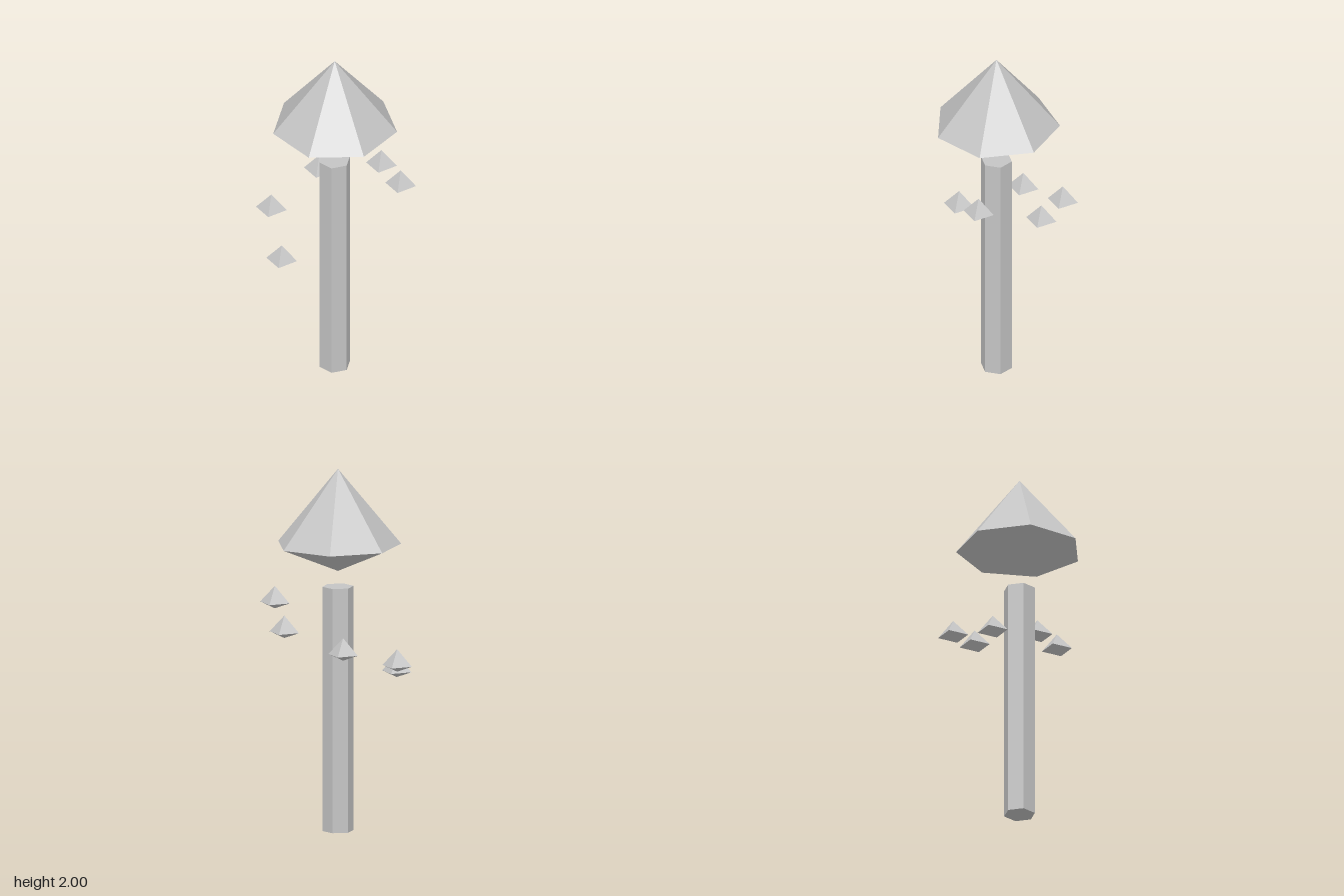
import * as THREE from 'three';

const CENTRE_X = -0.002;
const CENTRE_Z = 0.027;

// Double pyramid with its widest ring at y = 0 and one corner on +x
function crystal(sides, radius, above, below) {
  const profile = [
    new THREE.Vector2(0, -below),
    new THREE.Vector2(radius, 0),
    new THREE.Vector2(0, above),
  ];
  return new THREE.LatheGeometry(profile, sides, Math.PI / 2);
}

export function createModel() {
  const stone = new THREE.MeshStandardMaterial({ color: 0xc4c4c4 });
  stone.name = 'grey stone';
  stone.flatShading = true;

  const model = new THREE.Group();
  model.name = 'crystalPillar';

  function add(name, geometry, x, y, z) {
    const mesh = new THREE.Mesh(geometry, stone);
    mesh.name = name;
    mesh.position.set(CENTRE_X + x, y, CENTRE_Z + z);
    model.add(mesh);
  }

  // Six-sided column
  add('column', new THREE.CylinderGeometry(0.0865, 0.0865, 1.35, 6), 0, 0.675, 0);

  // Large seven-sided crystal floating over the column
  add('topCrystal', crystal(7, 0.345, 0.42, 0.145), 0, 1.58, 0);

  // Small crystals spiralling down, one radian apart
  const shard = crystal(4, 0.085, 0.092, 0.032);
  for (let i = 0; i < 5; i++) {
    add(`floatingShard${i + 1}`, shard,
      0.365 * Math.cos(i), 1.236 - i * 0.0975, -0.365 * Math.sin(i));
  }

  return model;
}
